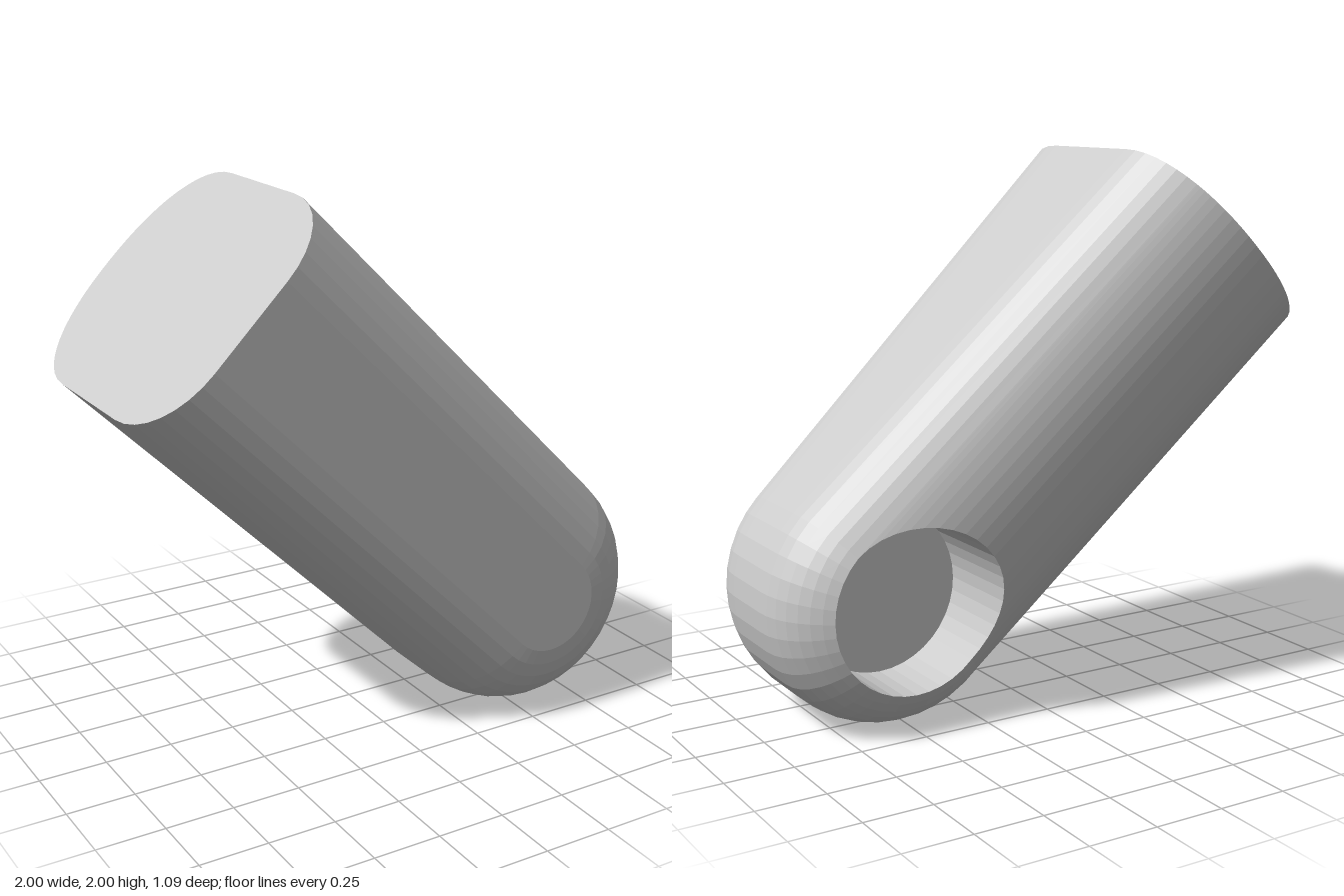
import * as THREE from 'three';

const W = 0.465;      // half width, also the radius of the round end
const LEN = 1.704;    // straight length
const HOLE = 0.305;   // socket radius
const FLOOR = 0.03;   // socket floor depth
const SLOPE = 0.225 / LEN; // flare of the back along the length
const N = 20;         // segments per half turn

// back curve of the cross-section at the round end
const backZ = (u) => 0.01 - 0.33 * Math.pow(Math.max(0, 1 - Math.pow(Math.abs(u) / W, 2.2)), 1 / 2.2);

// front corner, from the flat face out to the side wall
const frontCorner = [];
for (let i = 0; i <= 8; i++) {
  const a = (i / 8) * Math.PI / 2;
  frontCorner.push([0.18 + (W - 0.18) * Math.sin(a), 0.23 + 0.315 * Math.cos(a)]);
}
// back corner, from the side wall in to the socket rim
const backCorner = [];
for (let i = 0; i <= 7; i++) {
  const u = HOLE + (W - HOLE) * Math.cos((i / 7) * Math.PI / 2);
  backCorner.push([u, backZ(u)]);
}

const material = new THREE.MeshStandardMaterial({ color: 0xcccccc, flatShading: true });

// collects triangles and quads into one mesh
function surface(name, fill) {
  const data = [];
  const tri = (a, b, c) => data.push(...a, ...b, ...c);
  const quad = (a, b, c, d) => { tri(a, b, c); tri(a, c, d); };
  fill(tri, quad);
  const geometry = new THREE.BufferGeometry();
  geometry.setAttribute('position', new THREE.Float32BufferAttribute(data, 3));
  geometry.computeVertexNormals();
  const mesh = new THREE.Mesh(geometry, material);
  mesh.name = name;
  return mesh;
}

export function createModel() {
  const group = new THREE.Group();
  group.name = 'roundedSocketBlock';

  // closed cross-section: front left to right, then back right to left
  const start = [], end = [];
  const addColumn = (u, z, s, slope) => {
    start.push([u, s, z - slope * s]);
    end.push([u, LEN, z - slope * LEN]);
  };
  for (const [u, z] of [...frontCorner].reverse()) addColumn(-u, z, 0, 0);
  for (const [u, z] of frontCorner) addColumn(u, z, 0, 0);
  for (const [u, z] of backCorner) addColumn(u, z, 0, SLOPE);
  for (let j = 1; j < N; j++) {
    const a = (j / N) * Math.PI, u = HOLE * Math.cos(a);
    addColumn(u, backZ(u), HOLE * Math.sin(a), SLOPE); // starts at the socket rim
  }
  for (const [u, z] of [...backCorner].reverse()) addColumn(-u, z, 0, SLOPE);

  group.add(surface('body', (tri, quad) => {
    start.forEach((p, i) => {
      const k = (i + 1) % start.length;
      quad(p, start[k], end[k], end[i]);
    });
  }));

  // flat end face
  group.add(surface('endFace', (tri) => {
    end.forEach((p, i) => tri([0, LEN, 0], p, end[(i + 1) % end.length]));
  }));

  // round end: the cross-section turned half way round the socket axis
  const profile = [[0, 0.545], ...frontCorner, ...backCorner];
  const turn = ([r, z], j) => {
    const a = Math.PI * (1 + j / N);
    return [r * Math.cos(a), r * Math.sin(a), z];
  };
  group.add(surface('roundEnd', (tri, quad) => {
    for (let i = 0; i < profile.length - 1; i++) {
      for (let j = 0; j < N; j++) {
        const p = profile[i], q = profile[i + 1];
        if (i === 0) tri(turn(p, j), turn(q, j), turn(q, j + 1));
        else quad(turn(p, j), turn(q, j), turn(q, j + 1), turn(p, j + 1));
      }
    }
  }));

  // blind socket in the back
  const rim = [], base = [];
  for (let j = 0; j <= 2 * N; j++) {
    const a = (j / N) * Math.PI;
    const u = HOLE * Math.cos(a), s = HOLE * Math.sin(a);
    rim.push([u, s, j <= N ? backZ(u) - SLOPE * s : backZ(HOLE)]);
    base.push([u, s, FLOOR]);
  }
  group.add(surface('socketWall', (tri, quad) => {
    for (let j = 0; j < 2 * N; j++) quad(rim[j], base[j], base[j + 1], rim[j + 1]);
  }));
  group.add(surface('socketFloor', (tri) => {
    for (let j = 0; j < 2 * N; j++) tri([0, 0, FLOOR], base[j + 1], base[j]);
  }));

  // lean the block over its round end
  group.rotation.z = Math.PI / 4;
  group.position.set(0.535, W, 0);
  const model = new THREE.Group();
  model.name = 'model';
  model.add(group);
  return model;
}
